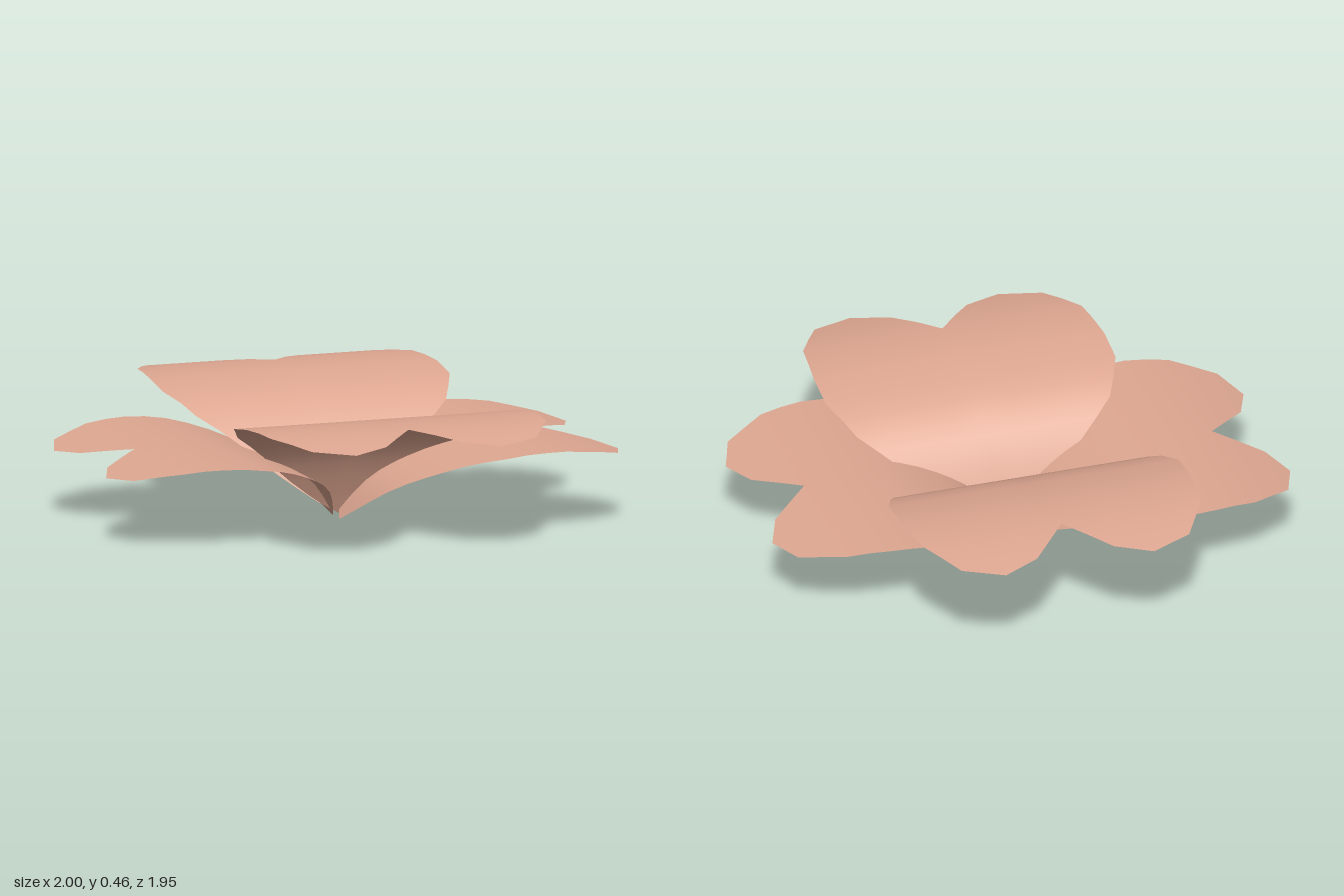
import * as THREE from 'three';
import { mergeVertices } from 'three/addons/utils/BufferGeometryUtils.js';

// Cross-sections from base to tip: [distance out, height, inner half width, outer half width].
// The inner half width opens the notch between the two lobes.
const LOWER = [
  [0.00, 0.000, 0, 0.005], [0.03, 0.045, 0, 0.09], [0.06, 0.088, 0, 0.165], [0.10, 0.137, 0, 0.25],
  [0.15, 0.178, 0, 0.325], [0.20, 0.207, 0, 0.38], [0.25, 0.231, 0, 0.425], [0.32, 0.259, 0, 0.475],
  [0.39, 0.280, 0, 0.52], [0.46, 0.295, 0, 0.56], [0.54, 0.306, 0, 0.567], [0.62, 0.310, 0, 0.567],
  [0.70, 0.308, 0, 0.555], [0.785, 0.299, 0, 0.54], [0.865, 0.284, 0.075, 0.49],
  [0.945, 0.267, 0.15, 0.44], [1.00, 0.254, 0.29, 0.29],
];
const UPPER = [
  [0.00, 0.005, 0, 0.005], [0.02, 0.050, 0, 0.085], [0.04, 0.095, 0, 0.15], [0.07, 0.155, 0, 0.23],
  [0.10, 0.213, 0, 0.30], [0.135, 0.268, 0, 0.36], [0.175, 0.318, 0, 0.425], [0.23, 0.366, 0, 0.495],
  [0.30, 0.405, 0, 0.53], [0.39, 0.433, 0, 0.567], [0.53, 0.455, 0, 0.567], [0.64, 0.460, 0, 0.556],
  [0.74, 0.457, 0, 0.545], [0.83, 0.447, 0.075, 0.495], [0.915, 0.432, 0.15, 0.445], [0.975, 0.419, 0.29, 0.29],
];

// Heart-shaped petal reaching out along +z, built as two mirrored halves
function petalGeometry(rows, across = 4) {
  const pos = [], index = [];
  for (const side of [1, -1]) {
    const start = pos.length / 3;
    rows.forEach(([r, y, inner, outer]) => {
      for (let j = 0; j <= across; j++) {
        pos.push(side * THREE.MathUtils.lerp(inner, outer, j / across), y, r);
      }
    });
    for (let i = 0; i < rows.length - 1; i++) {
      for (let j = 0; j < across; j++) {
        const a = start + i * (across + 1) + j, b = a + 1, c = a + across + 1, d = c + 1;
        if (side > 0) index.push(a, c, b, b, c, d);
        else index.push(a, b, c, b, d, c);
      }
    }
  }
  const geo = new THREE.BufferGeometry();
  geo.setAttribute('position', new THREE.Float32BufferAttribute(pos, 3));
  geo.setIndex(index);
  const merged = mergeVertices(geo, 1e-5);
  merged.computeVertexNormals();
  return merged;
}

export function createModel() {
  const flower = new THREE.Group();
  flower.name = 'flower';
  const material = new THREE.MeshStandardMaterial({ color: 0xdea791, side: THREE.DoubleSide });
  const lower = petalGeometry(LOWER), upper = petalGeometry(UPPER);

  // Upper pair front and back, lower pair left and right, each slightly off centre
  const petals = [
    ['frontPetal', upper, 0, 0.03, 0],
    ['backPetal', upper, Math.PI, 0.03, 0],
    ['leftPetal', lower, Math.PI / 2, 0, 0.06],
    ['rightPetal', lower, -Math.PI / 2, 0, -0.02],
  ];
  for (const [name, geometry, turn, x, z] of petals) {
    const petal = new THREE.Mesh(geometry, material);
    petal.name = name;
    petal.rotation.y = turn;
    petal.position.set(x, 0, z);
    flower.add(petal);
  }
  return flower;
}
